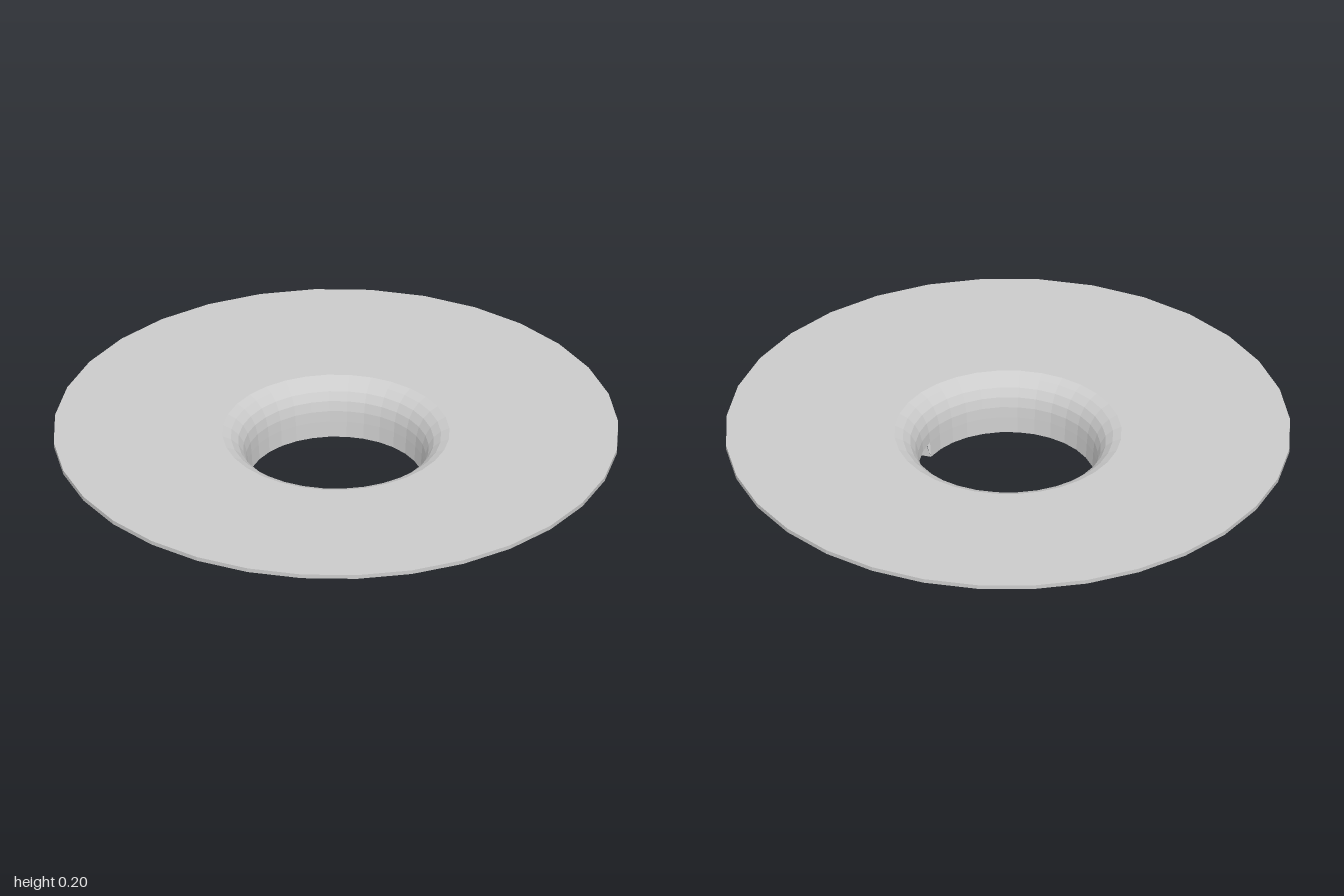
import * as THREE from 'three';

const SIDES = 32;
const STEP = (Math.PI * 2) / SIDES;

function material(side = THREE.FrontSide) {
  return new THREE.MeshStandardMaterial({ color: 0xcccccc, flatShading: true, side });
}

function lathe(name, profile, start = 0, segments = SIDES, side) {
  const points = profile.map(([r, y]) => new THREE.Vector2(r, y));
  const mesh = new THREE.Mesh(new THREE.LatheGeometry(points, segments, start, segments * STEP), material(side));
  mesh.name = name;
  return mesh;
}

// Arched channel, open underneath and into the collar, closed at its tip
function makeSpout() {
  const section = [[-0.06, 0], [-0.06, 0.055], [0, 0.07], [0.06, 0.055], [0.06, 0]];
  const root = section.map(([z, y]) => [0.304 + 0.36 * y, y, z]);
  const tip = section.map(([z, y]) => [0.49, y, z]);
  const pos = [];
  for (let i = 0; i < section.length - 1; i++) {
    pos.push(...root[i], ...root[i + 1], ...tip[i + 1]);
    pos.push(...root[i], ...tip[i + 1], ...tip[i]);
  }
  // End cap as a fan
  for (let i = 1; i < section.length - 1; i++) pos.push(...tip[0], ...tip[i], ...tip[i + 1]);
  const geo = new THREE.BufferGeometry();
  geo.setAttribute('position', new THREE.Float32BufferAttribute(pos, 3));
  geo.computeVertexNormals();
  const mesh = new THREE.Mesh(geo, material(THREE.DoubleSide));
  mesh.name = 'spout';
  return mesh;
}

export function createModel() {
  const group = new THREE.Group();
  group.name = 'flangedCollar';

  // Wide thin flange flowing into the flared upper collar
  group.add(lathe('flange', [
    [0.333, 0.06], [0.37, 0.16], [0.395, 0.185], [1, 0.185], [1, 0.2], [0.402, 0.2],
    [0.372, 0.187], [0.346, 0.165], [0.328, 0.135], [0.318, 0.1], [0.314, 0.06], [0.333, 0.06],
  ]));

  // Lower collar, tapering to a thin rim, with a two-segment notch at the spout
  group.add(lathe('lowerCollar', [[0.314, 0.06], [0.31, 0], [0.333, 0.06]],
    Math.PI / 2 + STEP, SIDES - 2, THREE.DoubleSide));

  group.add(makeSpout());
  return group;
}
